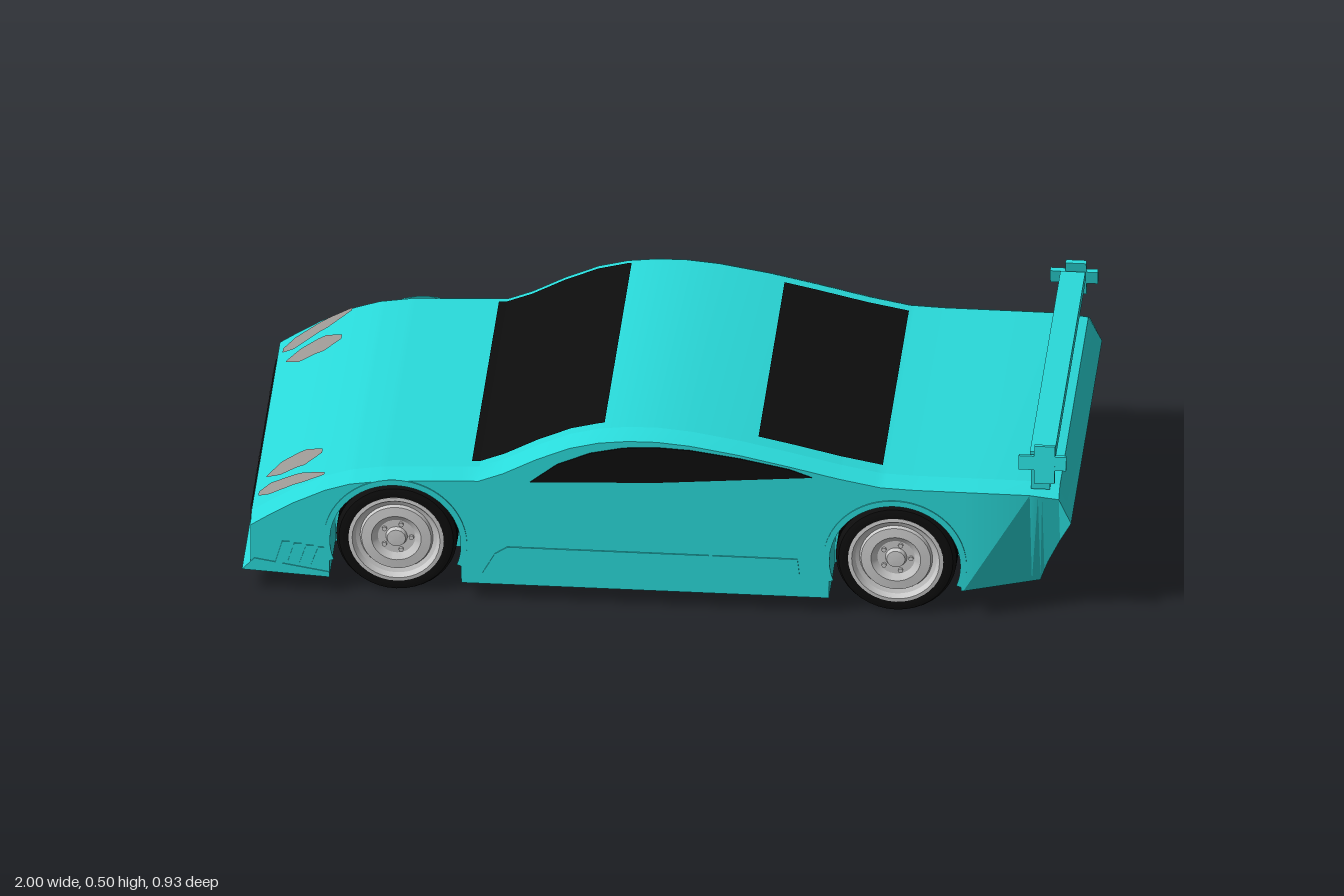
import * as THREE from 'three';
import { toCreasedNormals } from 'three/addons/utils/BufferGeometryUtils.js';

const mat = (color, side = THREE.FrontSide) => new THREE.MeshStandardMaterial({ color, side });
const paint = mat(0x29dada);
const black = mat(0x0d0d0d, THREE.DoubleSide);
const lamp = mat(0x9c9894, THREE.DoubleSide);
const alloy = mat(0xbcbcbc);
const mesh = mat(0x4a4a4a);

// Side profile of the body, nose at -x: upper and lower edge as [x, y]
const TOP = [[-0.98, 0.2], [-0.94, 0.227], [-0.88, 0.265], [-0.8, 0.305], [-0.74, 0.325], [-0.67, 0.336],
  [-0.55, 0.343], [-0.43, 0.348], [-0.37, 0.372], [-0.29, 0.415], [-0.21, 0.45], [-0.14, 0.468], [-0.07, 0.476],
  [0, 0.477], [0.08, 0.47], [0.2, 0.45], [0.32, 0.424], [0.44, 0.396], [0.54, 0.377], [0.62, 0.374],
  [0.9, 0.373], [0.97, 0.365], [1, 0.28]];
const BOTTOM = [[-0.98, 0.06], [-0.77, 0.045], [0.43, 0.045], [0.72, 0.08], [0.92, 0.08], [0.94, 0.14], [1, 0.28]];
const WHEELS = [-0.63, 0.575];
const AXLE = 0.15, ARCH = 0.158, HALF = 0.441;

const clamp = (v) => Math.min(1, Math.max(0, v));

// Piecewise linear lookup of column c in rows sorted by x
function at(rows, x, c = 1) {
  let i = 1;
  while (i < rows.length - 1 && x > rows[i][0]) i++;
  const [p, q] = [rows[i - 1], rows[i]];
  return p[c] + (q[c] - p[c]) * clamp((x - p[0]) / (q[0] - p[0]));
}

function triangles(list) {
  const g = new THREE.BufferGeometry();
  g.setAttribute('position', new THREE.Float32BufferAttribute(list.flat(), 3));
  g.computeVertexNormals();
  return g;
}

// Cross-section of the body at x, with wheel wells cut in from the sides
function section(x) {
  const top = at(TOP, x), low = at(BOTTOM, x);
  let sill = low;
  for (const c of WHEELS) {
    const d = Math.abs(x - c);
    if (d <= ARCH + 1e-6) sill = AXLE + Math.sqrt(Math.max(0, ARCH * ARCH - d * d));
  }
  const shoulder = Math.max(top - 0.02, sill);
  const zs = HALF - 0.075 * clamp((x - 0.74) / 0.19) * clamp((0.34 - sill) / 0.26);
  return [[sill, zs], [shoulder, HALF], [top, 0.405], [top, -0.405], [shoulder, -HALF], [sill, -zs],
    [sill, -0.27], [low, -0.27], [low, 0.27], [sill, 0.27]].map(([y, z]) => [x, y, z]);
}

function bodyGeometry() {
  const xs = [...TOP, ...BOTTOM].map((p) => p[0]);
  xs.push(0.74, 0.93);
  for (const c of WHEELS) {
    xs.push(c - ARCH - 0.001, c + ARCH + 0.001);
    for (let i = 0; i <= 20; i++) xs.push(c - ARCH * Math.cos((i / 20) * Math.PI));
  }
  const rings = [...new Set(xs)].sort((a, b) => a - b).map(section);
  const out = [];
  for (let i = 0; i < rings.length - 1; i++) {
    for (let j = 0; j < 10; j++) {
      const k = (j + 1) % 10;
      const [a, b, c, d] = [rings[i][j], rings[i][k], rings[i + 1][k], rings[i + 1][j]];
      out.push(a, d, c, a, c, b);
    }
  }
  const n = rings[0];
  out.push(n[0], n[1], n[4], n[0], n[4], n[5], n[1], n[2], n[3], n[1], n[3], n[4]);
  return toCreasedNormals(triangles(out), 0.3);
}

// Patch lying just above the upper surface; rows are [x, zMin, zMax]
function topPatch(rows) {
  const x0 = rows[0][0], x1 = rows[rows.length - 1][0];
  const xs = [...new Set([...rows, ...TOP].map((r) => r[0]))].filter((x) => x >= x0 && x <= x1).sort((a, b) => a - b);
  const line = xs.map((x) => [1, 2].map((c) => [x, at(TOP, x) + 0.004, at(rows, x, c)]));
  const out = [];
  for (let i = 0; i < line.length - 1; i++) {
    const [[a, b], [d, c]] = [line[i], line[i + 1]];
    out.push(a, b, c, a, c, d);
  }
  return triangles(out);
}

export function createModel() {
  const car = new THREE.Group();
  car.name = 'sportsCar';
  const add = (name, geo, material, x = 0, y = 0, z = 0, parent = car) => {
    const m = new THREE.Mesh(geo, material);
    m.name = name;
    m.position.set(x, y, z);
    parent.add(m);
    return m;
  };
  const box = (name, m, w, h, d, x, y, z) => add(name, new THREE.BoxGeometry(w, h, d), m, x, y, z);
  // Thin flat panel on both flanks
  const flank = (name, shape, m, depth = 0.004) => {
    const s = Array.isArray(shape) ? new THREE.Shape(shape.map((p) => new THREE.Vector2(...p))) : shape;
    const geo = new THREE.ExtrudeGeometry(s, { depth, bevelEnabled: false, curveSegments: 24 });
    add(name, geo, m, 0, 0, HALF - 0.001);
    add(name, geo, m, 0, 0, -HALF + 0.001 - depth);
  };

  add('body', bodyGeometry(), paint);

  // Glass
  add('windshield', topPatch([[-0.45, -0.385, 0.385], [-0.13, -0.385, 0.385]]), black);
  add('rearWindow', topPatch([[0.24, -0.372, 0.372], [0.54, -0.372, 0.372]]), black);
  flank('sideWindow', [[-0.305, 0.333], [0, 0.346], [0.375, 0.378], [0.32, 0.398], [0.2, 0.422], [0.08, 0.439],
    [0, 0.443], [-0.08, 0.438], [-0.16, 0.42], [-0.24, 0.385]], black);

  // Headlights and tail lights
  for (const s of [1, -1]) {
    const side = (rows) => rows.map(([x, a, b]) => [x, s * a, s * b]);
    add('outerHeadlight', topPatch(side([[-0.968, 0.335, 0.355], [-0.94, 0.322, 0.378], [-0.86, 0.35, 0.398],
      [-0.805, 0.39, 0.403]])), lamp);
    add('innerHeadlight', topPatch(side([[-0.955, 0.275, 0.28], [-0.92, 0.24, 0.305], [-0.86, 0.237, 0.313],
      [-0.82, 0.265, 0.285]])), lamp);
    const q = [[0.205, 0.373], [0.205, 0.27], [0.14, 0.258], [0.14, 0.355]]
      .map(([y, z]) => [0.945 + (y - 0.14) * 0.429, y, s * z]);
    add('tailLight', triangles([q[0], q[1], q[2], q[0], q[2], q[3]]), lamp);
  }

  // Nose: splitter, grille with mesh
  const lip = new THREE.Shape([[-1, 0.058], [-0.79, 0.046], [-0.79, 0.06], [-0.97, 0.09]].map((p) => new THREE.Vector2(...p)));
  add('splitter', new THREE.ExtrudeGeometry(lip, { depth: 0.886, bevelEnabled: false }), paint, 0, 0, -0.443);
  box('grille', black, 0.008, 0.085, 0.7, -0.981, 0.142, 0);
  for (let i = 0; i < 4; i++) box('grilleBar', mesh, 0.004, 0.004, 0.68, -0.986, 0.115 + i * 0.018, 0);
  for (let i = 0; i < 33; i++) box('grilleBar', mesh, 0.004, 0.07, 0.004, -0.986, 0.142, -0.336 + i * 0.021);

  // Flank details: arch lips, sill panels, slanted vents
  for (const c of WHEELS) {
    const ring = new THREE.Shape();
    ring.absarc(c, AXLE, 0.173, -0.35, Math.PI + 0.35, false);
    ring.absarc(c, AXLE, ARCH, Math.PI + 0.35, -0.35, true);
    flank('archLip', ring, paint);
  }
  flank('sillPanel', [[-0.42, 0.075], [0.125, 0.075], [0.125, 0.15], [-0.36, 0.15], [-0.39, 0.13]], paint);
  flank('sillVent', [[0.135, 0.088], [0.335, 0.088], [0.345, 0.105], [0.34, 0.15], [0.135, 0.15]], paint);
  for (let i = 0; i < 4; i++) {
    const x = -0.92 + i * 0.029;
    flank('noseVent', [[x, 0.08], [x + 0.02, 0.08], [x + 0.035, 0.14 - i * 0.004], [x + 0.017, 0.14 - i * 0.004]], paint);
  }

  // Rear wing
  box('wingBar', paint, 0.06, 0.03, 0.87, 0.93, 0.457, 0);
  for (const s of [1, -1]) {
    box('wingSupport', paint, 0.045, 0.08, 0.03, 0.925, 0.405, s * 0.413);
    box('wingEndPlate', paint, 0.05, 0.095, 0.013, 0.937, 0.448, s * 0.452).rotation.x = -s * 0.17;
    box('wingEndFin', paint, 0.115, 0.035, 0.013, 0.932, 0.452, s * 0.451).rotation.x = -s * 0.17;
  }

  // Wheels: grooved tyre and dished rim, axis along y before turning
  const v = (pts) => pts.map((p) => new THREE.Vector2(...p));
  const tread = [];
  for (let i = 0; i < 9; i++) {
    const y = -0.06 + i * 0.0125;
    tread.push([0.146, y], [0.146, y + 0.008], [0.141, y + 0.009], [0.141, y + 0.0115]);
  }
  const tyre = toCreasedNormals(new THREE.LatheGeometry(v([[0, -0.07], [0.12, -0.07], [0.14, -0.068], [0.146, -0.062],
    ...tread, [0.146, 0.053], [0.138, 0.068], [0.125, 0.072], [0.114, 0.07], [0.112, 0.04], [0, 0.04]]), 40), 0.5);
  const rim = toCreasedNormals(new THREE.LatheGeometry(v([[0.114, 0.045], [0.115, 0.071], [0.106, 0.072], [0.098, 0.06],
    [0.088, 0.056], [0.084, 0.064], [0.06, 0.066], [0.045, 0.056], [0.026, 0.056], [0.022, 0.066], [0, 0.068]]), 40), 0.5);
  const bolt = new THREE.CylinderGeometry(0.006, 0.006, 0.01, 8);
  for (const x of WHEELS) {
    for (const s of [1, -1]) {
      const wheel = new THREE.Group();
      wheel.name = (x < 0 ? 'front' : 'rear') + 'Wheel';
      add('tyre', tyre, black, 0, 0, 0, wheel);
      add('rim', rim, alloy, 0, 0, 0, wheel);
      for (let i = 0; i < 5; i++) {
        const a = (i / 5) * Math.PI * 2;
        add('wheelBolt', bolt, alloy, 0.036 * Math.cos(a), 0.057, 0.036 * Math.sin(a), wheel);
      }
      wheel.position.set(x, 0.146, s * 0.35);
      wheel.rotation.x = s * Math.PI / 2;
      car.add(wheel);
    }
  }
  return car;
}
